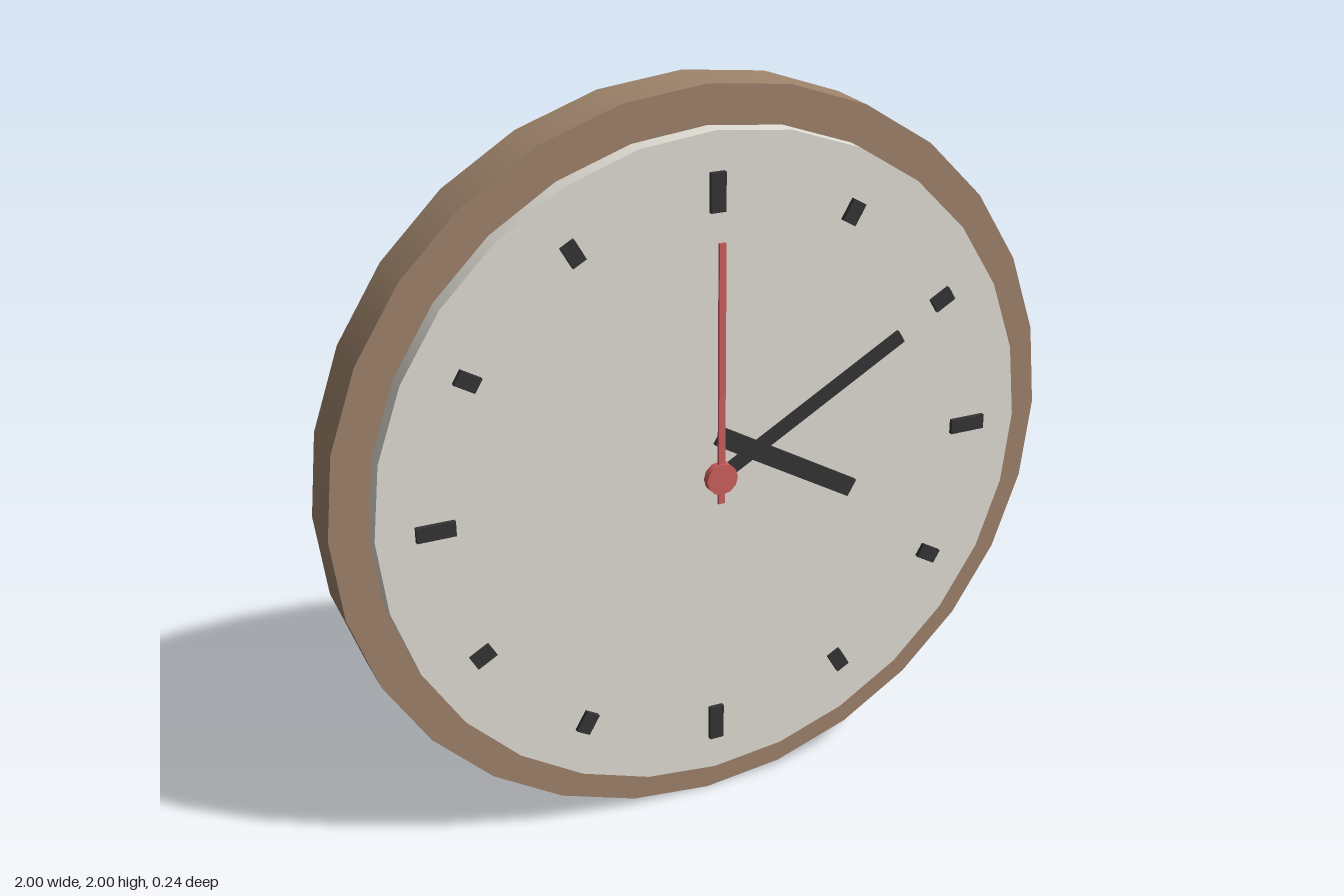
import * as THREE from 'three';

const material = (name, color) => {
  const m = new THREE.MeshStandardMaterial({ color });
  m.name = name;
  return m;
};

export function createModel() {
  const wood = material('brown wood', 0x9f846c);
  const cream = material('cream dial', 0xe2dfd6);
  const dark = material('charcoal', 0x343434);
  const red = material('red', 0xd0605e);

  const clock = new THREE.Group();
  clock.name = 'wallClock';

  const add = (name, geometry, mat, x, y, z, angle = 0) => {
    const mesh = new THREE.Mesh(geometry, mat);
    mesh.name = name;
    mesh.position.set(x, y, z);
    mesh.rotation.z = angle;
    clock.add(mesh);
  };

  // Disc facing +z, spanning z0 to z1
  const disc = (name, radius, z0, z1, sides, mat) => {
    const geometry = new THREE.CylinderGeometry(radius, radius, z1 - z0, sides);
    geometry.rotateX(Math.PI / 2);
    add(name, geometry, mat, 0, 1, (z0 + z1) / 2);
  };

  // Bar with its long side along its local x, spanning z0 to z1
  const bar = (name, length, width, z0, z1, mat, x, y, angle) =>
    add(name, new THREE.BoxGeometry(length, width, z1 - z0), mat, x, y, (z0 + z1) / 2, angle);

  // Case and raised dial
  disc('case', 1, -0.12, 0.03, 28, wood);
  disc('dial', 0.9, 0.02, 0.08, 28, cream);

  // Hour marks, longer at every quarter
  for (let i = 0; i < 12; i++) {
    const a = (i * Math.PI) / 6;
    const length = i % 3 === 0 ? 0.1 : 0.06;
    bar('hourMark', length, 0.04, 0.075, 0.092, dark, 0.75 * Math.cos(a), 1 + 0.75 * Math.sin(a), a);
  }

  // Hands and hub; the hour hand is offset from the centre
  bar('hourHand', 0.45, 0.05, 0.09, 0.102, dark, 0.195, 1, -Math.PI / 6);
  bar('minuteHand', 0.6, 0.035, 0.095, 0.107, dark, 0.26, 1.15, Math.PI / 6);
  bar('secondHand', 0.7, 0.018, 0.108, 0.116, red, 0, 1.28, Math.PI / 2);
  disc('hub', 0.043, 0.098, 0.12, 12, red);

  return clock;
}
